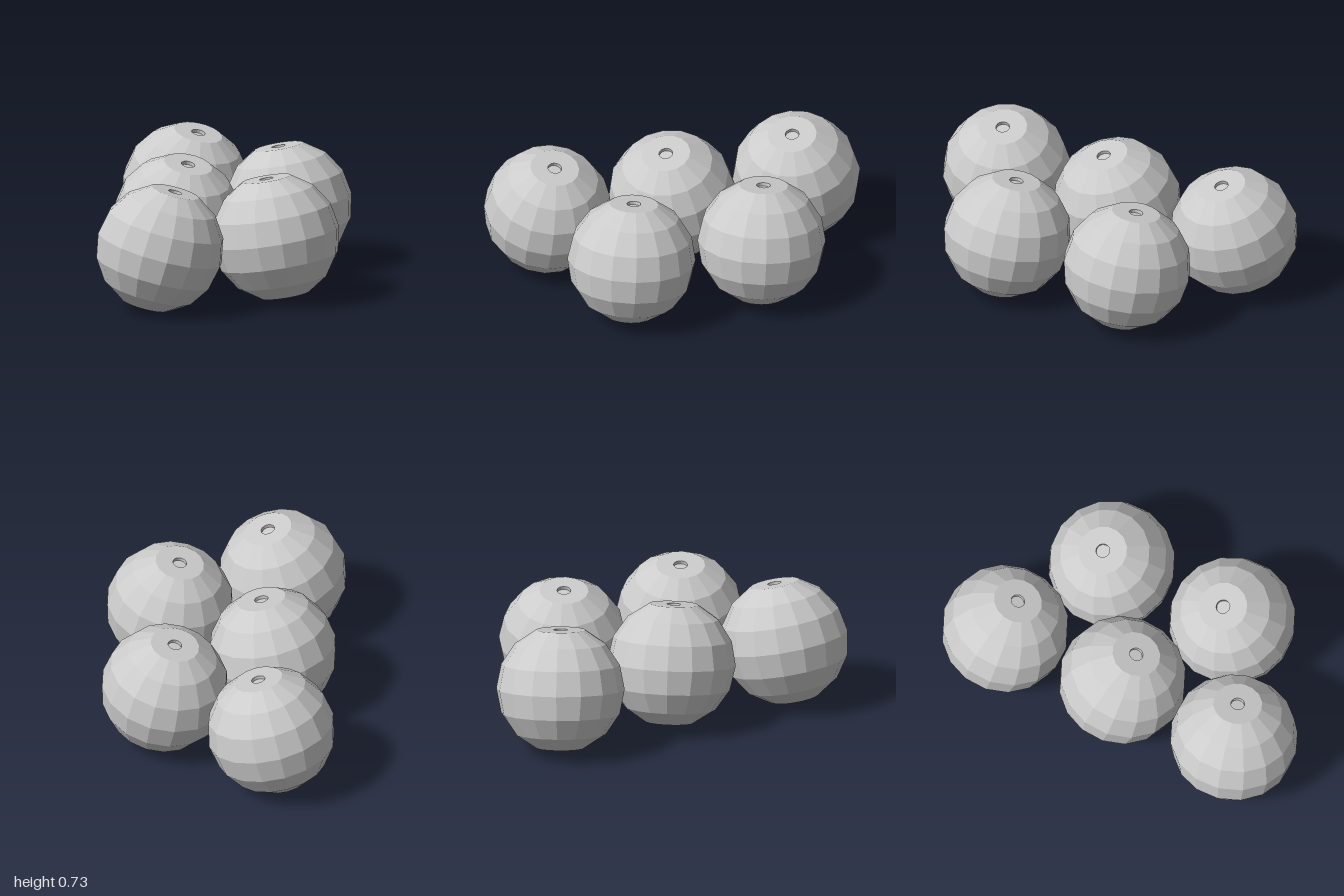
import * as THREE from 'three';

const R = 0.37; // ball radius
const SIDES = 16;
const CAP = Math.PI / 8; // polar angle where the flat ends begin

// Faceted ball with flat ends and a shallow round recess in the top
function ballGeometry() {
  const capY = R * Math.cos(CAP);
  const profile = [new THREE.Vector2(0, -capY)];
  for (let i = 1; i <= 7; i++) {
    const a = Math.PI - i * CAP;
    profile.push(new THREE.Vector2(R * Math.sin(a), R * Math.cos(a)));
  }
  profile.push(
    new THREE.Vector2(0.04, capY),
    new THREE.Vector2(0.04, capY - 0.02),
    new THREE.Vector2(0, capY - 0.02),
  );
  return new THREE.LatheGeometry(profile, SIDES);
}

export function createModel() {
  const group = new THREE.Group();
  group.name = 'ballCluster';
  const geometry = ballGeometry();
  const material = new THREE.MeshStandardMaterial({ color: 0xcccccc, flatShading: true });

  // centre x, z and the sideways shift of the top (lean) in x, z
  const balls = [
    ['backRightBall', -0.577, -0.597, 0.088, -0.005],
    ['backLeftBall', 0.151, -0.632, -0.065, 0.01],
    ['middleRightBall', -0.152, 0.014, 0.088, 0.007],
    ['middleLeftBall', 0.577, 0.014, -0.065, 0.007],
    ['frontBall', 0.226, 0.64, 0.062, -0.064],
  ];
  const up = new THREE.Vector3(0, 1, 0);
  const capY = R * Math.cos(CAP);
  for (const [name, x, z, leanX, leanZ] of balls) {
    const ball = new THREE.Mesh(geometry, material);
    ball.name = name;
    ball.position.set(x, R, z);
    const axis = new THREE.Vector3(leanX, Math.sqrt(capY ** 2 - leanX ** 2 - leanZ ** 2), leanZ);
    ball.quaternion.setFromUnitVectors(up, axis.normalize());
    group.add(ball);
  }
  return group;
}
